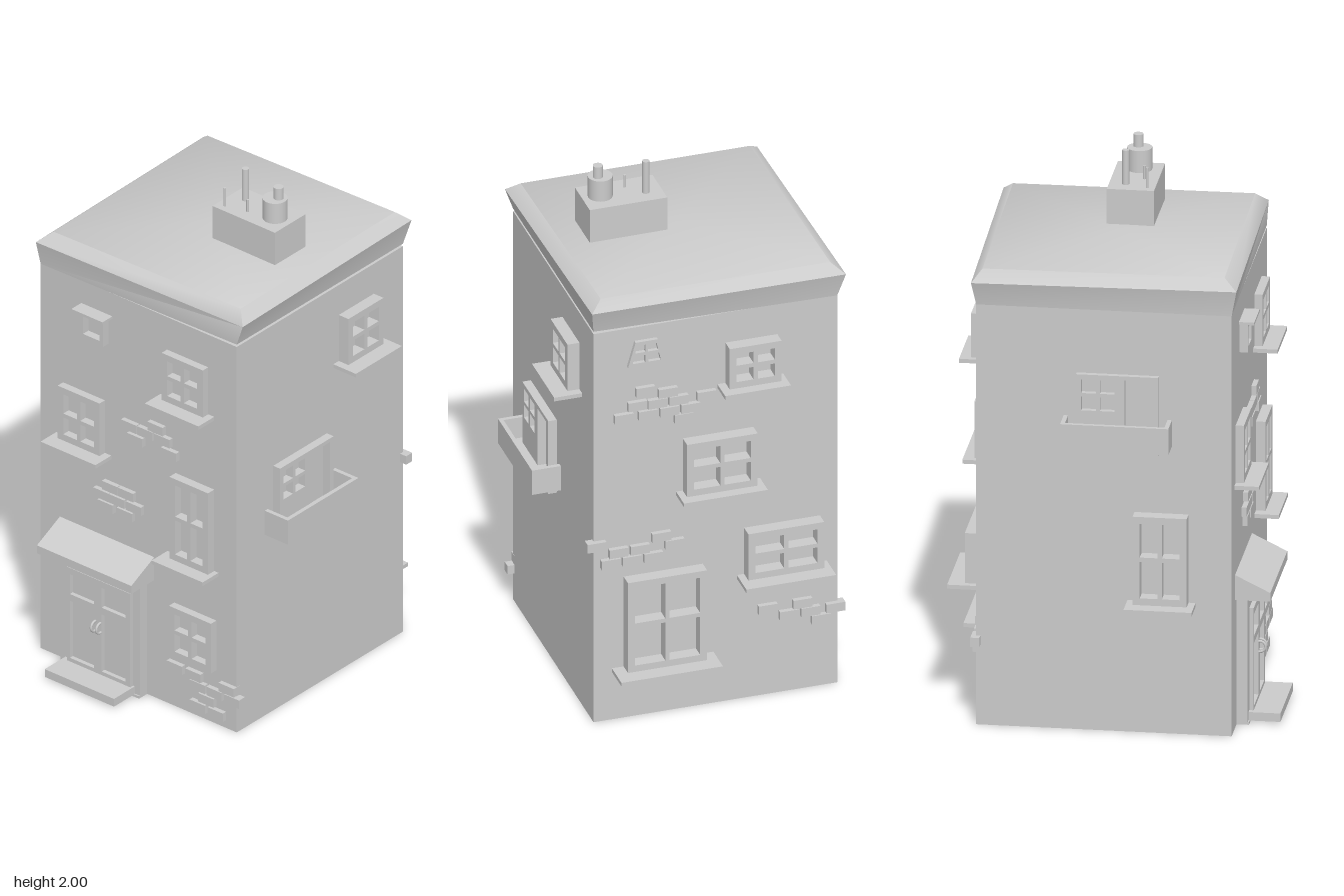
import * as THREE from 'three';
import { toCreasedNormals } from 'three/addons/utils/BufferGeometryUtils.js';

const mat = new THREE.MeshStandardMaterial({ color: 0xcccccc });

function add(parent, name, geo) {
  const m = new THREE.Mesh(geo, mat);
  m.name = name;
  parent.add(m);
  return m;
}

// Box given by its limits on each axis
function box(parent, name, x0, x1, y0, y1, z0, z1) {
  const m = add(parent, name, new THREE.BoxGeometry(x1 - x0, y1 - y0, z1 - z0));
  m.position.set((x0 + x1) / 2, (y0 + y1) / 2, (z0 + z1) / 2);
  return m;
}

function cylinder(parent, name, x, z, r, y0, y1, sides = 24) {
  const m = add(parent, name, new THREE.CylinderGeometry(r, r, y1 - y0, sides));
  m.position.set(x, (y0 + y1) / 2, z);
  return m;
}

// Flat frame of thickness d with openings cut through; outlines are corner lists
const rect = ([u0, u1, y0, y1]) => [[u0, y0], [u1, y0], [u1, y1], [u0, y1]];
const toPoints = (list) => list.map(([x, y]) => new THREE.Vector2(x, y));
function frame(parent, name, outline, holes, d, z = 0) {
  const shape = new THREE.Shape(toPoints(outline));
  for (const h of holes) shape.holes.push(new THREE.Path(toPoints(h)));
  const m = add(parent, name, new THREE.ExtrudeGeometry(shape, { depth: d, bevelEnabled: false }));
  m.position.z = z;
  return m;
}

// Two-by-two pane openings inside a rectangle; split is the lower row's share
function panes([u0, u1, y0, y1], margin = 0.026, bar = 0.016, split = 0.52) {
  const a = u0 + margin, b = u1 - margin, c = y0 + margin, e = y1 - margin;
  const um = (a + b) / 2, ym = c + (e - c) * split, h = bar / 2;
  const out = [];
  for (const [p, q] of [[a, um - h], [um + h, b]])
    for (const [r, s] of [[c, ym - h], [ym + h, e]]) out.push(rect([p, q, r, s]));
  return out;
}

// Window with an optional sill [u0, u1, depth]
function sashWindow(wall, name, r, d, sill, split) {
  frame(wall, name, rect(r), panes(r, 0.026, 0.016, split), d);
  if (sill) box(wall, name + 'Sill', sill[0], sill[1], r[2] - 0.015, r[2], 0, sill[2]);
}

// Bricks from [left, bottom] corners
function bricks(wall, name, list) {
  const g = new THREE.Group();
  g.name = name;
  wall.add(g);
  for (const [u, y] of list) box(g, 'brick', u, u + 0.071, y, y + 0.035, -0.015, 0.018);
}

// Window and glazed door behind a hollow balcony
function balcony(wall, u, y, windowDepth, depth) {
  const g = new THREE.Group();
  g.name = 'balcony';
  g.position.set(u, y, 0);
  wall.add(g);
  const holes = panes([-0.218, -0.09, 0.125, 0.25], 0.004, 0.014, 0.5);
  holes.push(rect([-0.058, 0.042, 0.0, 0.25]));
  frame(g, 'balconyWindow', rect([-0.233, 0.064, -0.035, 0.265]), holes, windowDepth);
  const t = 0.016;
  box(g, 'balconyFloor', -0.28, 0.11, 0, t, 0, depth);
  box(g, 'balconyFront', -0.28, 0.11, 0, 0.1, depth - t, depth);
  box(g, 'balconySide', -0.28, -0.28 + t, 0, 0.1, 0, depth - t);
  box(g, 'balconySide', 0.11 - t, 0.11, 0, 0.1, 0, depth - t);
}

// Slightly crooked flared cornice and softly rounded roof, lofted from four-corner rings
function roofGeometry() {
  const rings = [
    [[-0.46, 1.595, -0.485], [0.455, 1.61, -0.485], [0.455, 1.61, 0.435], [-0.46, 1.595, 0.435]],
    [[-0.488, 1.685, -0.5], [0.47, 1.70, -0.515], [0.485, 1.695, 0.438], [-0.467, 1.69, 0.453]],
    [[-0.44, 1.725, -0.465], [0.425, 1.735, -0.475], [0.44, 1.735, 0.395], [-0.425, 1.728, 0.405]],
  ];
  const pos = rings.flat(2).concat([0, 1.738, -0.03]);
  const idx = [];
  for (let i = 0; i < 4; i++) {
    const j = (i + 1) % 4;
    for (const k of [0, 4]) idx.push(k + i, k + 4 + i, k + j, k + j, k + 4 + i, k + 4 + j);
    idx.push(8 + i, 12, 8 + j);
  }
  const geo = new THREE.BufferGeometry();
  geo.setAttribute('position', new THREE.Float32BufferAttribute(pos, 3));
  geo.setIndex(idx);
  return toCreasedNormals(geo, 0.9);
}

export function createModel() {
  const house = new THREE.Group();
  house.name = 'townHouse';
  box(house, 'walls', -0.46, 0.455, 0, 1.6, -0.485, 0.435);
  add(house, 'roof', roofGeometry());

  // Chimney with pot and thin pipes
  box(house, 'chimney', 0.047, 0.338, 1.69, 1.87, -0.085, 0.085);
  cylinder(house, 'chimneyPot', 0.27, 0.003, 0.045, 1.87, 1.953);
  cylinder(house, 'chimneyPotTop', 0.281, -0.003, 0.018, 1.95, 2.0);
  cylinder(house, 'pipe', 0.108, -0.025, 0.013, 1.87, 2.0, 16);
  cylinder(house, 'thinPipe', 0.08, 0.056, 0.005, 1.87, 1.945, 8);
  cylinder(house, 'thinPipe', 0.168, 0.034, 0.005, 1.87, 1.92, 8);

  // Each wall group works in (across, up, outward) coordinates
  const wall = (name, x, z, turn) => {
    const g = new THREE.Group();
    g.name = name;
    g.position.set(x, 0, z);
    g.rotation.y = turn * Math.PI / 2;
    house.add(g);
    return g;
  };
  const front = wall('frontWall', 0, 0.435, 0);
  const side = wall('rightWall', 0.455, 0, 1);
  const back = wall('backWall', 0, -0.485, 2);
  const left = wall('leftWall', -0.46, 0, -1);

  // Front windows
  frame(front, 'smallWindow', rect([-0.255, -0.143, 1.385, 1.495]), [rect([-0.237, -0.16, 1.403, 1.475])], 0.03);
  box(front, 'smallWindowLintel', -0.27, -0.125, 1.495, 1.505, 0, 0.055);
  sashWindow(front, 'upperWindow', [0.13, 0.322, 1.27, 1.465], 0.03, [0.1, 0.35, 0.088]);
  sashWindow(front, 'middleWindow', [-0.355, -0.16, 0.925, 1.143], 0.03, [-0.386, -0.13, 0.088], 0.47);
  sashWindow(front, 'tallWindow', [0.17, 0.35, 0.63, 0.968], 0.035, [0.132, 0.37, 0.088]);
  sashWindow(front, 'lowerWindow', [0.164, 0.36, 0.222, 0.428], 0.03);

  // Door, its surround, step and awning
  box(front, 'doorSurround', -0.333, 0.037, 0, 0.49, 0, 0.04);
  const doorHoles = [];
  for (const u of [-0.276, -0.128])
    doorHoles.push(rect([u, u + 0.112, 0.055, 0.292]), rect([u, u + 0.112, 0.32, 0.402]));
  frame(front, 'doors', rect([-0.29, 0.005, 0.04, 0.428]), doorHoles, 0.026, 0.03);
  for (const u of [-0.157, -0.133]) {
    const handle = add(front, 'doorHandle', new THREE.TorusGeometry(0.02, 0.005, 8, 20));
    handle.rotation.y = Math.PI / 2;
    handle.position.set(u, 0.235, 0.06);
  }
  box(front, 'doorStep', -0.31, 0.013, 0.008, 0.04, 0, 0.155);
  box(front, 'doorStepBase', -0.333, 0.037, 0, 0.01, 0, 0.045);
  // Profile runs outward along local x before being turned
  const awning = frame(front, 'awning', [[0, 0.485], [0.127, 0.485], [0.127, 0.518], [0, 0.58]], [], 0.44);
  awning.rotation.y = -Math.PI / 2;
  awning.position.set(0.07, 0, 0);

  bricks(front, 'upperBricks', [[0.053, 1.11], [-0.07, 1.072], [0.005, 1.072], [0.085, 1.072], [-0.042, 1.027], [0.116, 1.027]]);
  bricks(front, 'middleBricks', [[-0.159, 0.783], [-0.085, 0.783], [-0.2, 0.74], [-0.127, 0.74], [-0.048, 0.74], [-0.18, 0.698], [-0.09, 0.698]]);
  bricks(front, 'cornerBricks', [[0.143, 0.153], [0.23, 0.153], [0.385, 0.153], [0.25, 0.115], [0.328, 0.115], [0.41, 0.115],
    [0.29, 0.074], [0.25, 0.032], [0.334, 0.032]]);

  // Right side
  sashWindow(side, 'sideWindow', [0.13, 0.324, 1.285, 1.476], 0.045, [0.1, 0.355, 0.105]);
  balcony(side, 0, 0.75, 0.032, 0.108);

  // Left side
  balcony(left, 0.11, 1.09, 0.02, 0.095);
  sashWindow(left, 'tallSideWindow', [0.085, 0.28, 0.5, 0.835], 0.05, [0.06, 0.305, 0.105]);

  // Back
  sashWindow(back, 'upperBackWindow', [0.04, 0.235, 1.31, 1.476], 0.05, [0.01, 0.257, 0.09]);
  sashWindow(back, 'middleBackWindow', [-0.12, 0.145, 0.895, 1.11], 0.05, [-0.145, 0.17, 0.09]);
  sashWindow(back, 'lowerBackWindow', [0.11, 0.395, 0.51, 0.7], 0.05, [0.083, 0.42, 0.11]);
  sashWindow(back, 'largeBackWindow', [-0.342, -0.045, 0.21, 0.58], 0.05, [-0.386, -0.005, 0.11]);
  // Tapered attic window
  const taper = ([u, y]) => [-0.26 + u * (1 - y * 4), 1.445 + y];
  frame(back, 'atticWindow', rect([-0.07, 0.07, 0, 0.1]).map(taper),
    panes([-0.07, 0.07, 0, 0.1], 0.014, 0.012, 0.5).map((h) => h.map(taper)), 0.015);
  bricks(back, 'upperBackBricks', [[-0.3, 1.32], [-0.215, 1.3], [-0.33, 1.265], [-0.255, 1.262], [-0.175, 1.262], [-0.38, 1.222],
    [-0.29, 1.222], [-0.21, 1.222], [-0.13, 1.222], [-0.07, 1.262], [-0.155, 1.185]]);
  bricks(back, 'middleBackBricks', [[-0.483, 0.71], [-0.4, 0.672], [-0.32, 0.672], [-0.24, 0.71], [-0.43, 0.632],
    [-0.35, 0.632], [-0.27, 0.632], [-0.19, 0.672]]);
  bricks(back, 'lowerBackBricks', [[0.16, 0.34], [0.24, 0.302], [0.29, 0.34], [0.32, 0.302], [0.36, 0.264], [0.414, 0.302]]);

  return house;
}
